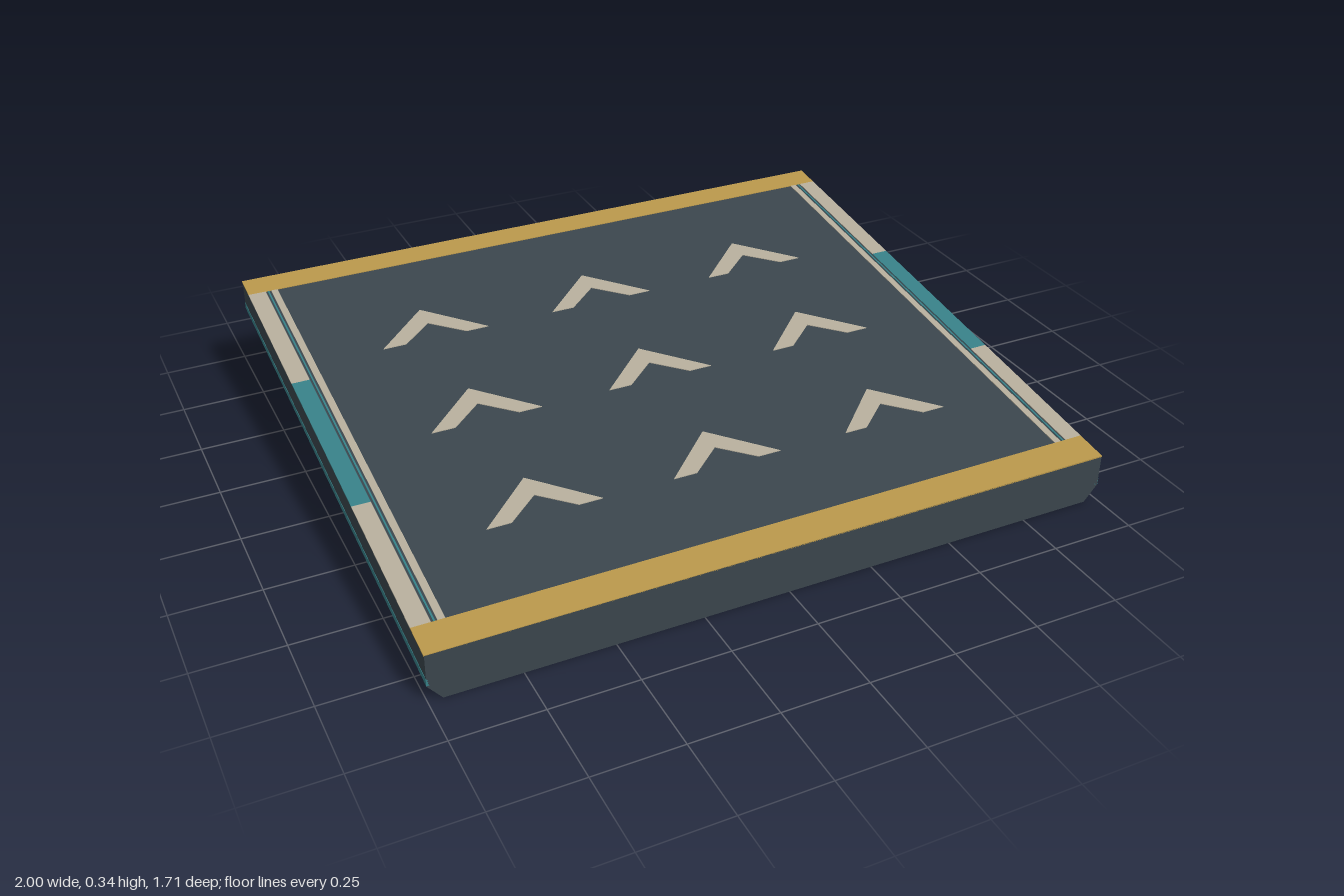
import * as THREE from 'three';

const HALF_LENGTH = 0.853, RISE = 0.2, TOP = 0.143, SKIN = 0.002;

const paint = (color) => new THREE.MeshStandardMaterial({ color });
const dark = paint(0x3a454c), gold = paint(0xb8964a), cream = paint(0xb5ad9b), teal = paint(0x378087);

// Shear that turns a level slab into the ramp, keeping its ends vertical
const slope = new THREE.Matrix4().set(
  1, 0, 0, 0,
  0, 1, -RISE / (2 * HALF_LENGTH), RISE / 2,
  0, 0, 1, 0,
  0, 0, 0, 1);

export function createModel() {
  const model = new THREE.Group();
  model.name = 'rampPanel';

  const add = (name, geometry, material) => {
    geometry.applyMatrix4(slope);
    const mesh = new THREE.Mesh(geometry, material);
    mesh.name = name;
    model.add(mesh);
  };
  const box = (name, material, x0, x1, y0, y1, z0, z1) => {
    const g = new THREE.BoxGeometry(x1 - x0, y1 - y0, z1 - z0);
    add(name, g.translate((x0 + x1) / 2, (y0 + y1) / 2, (z0 + z1) / 2), material);
  };
  // Thin marking lying on the deck
  const marking = (name, material, x0, x1, z0, z1) =>
    box(name, material, x0, x1, TOP - SKIN, TOP + SKIN, z0, z1);

  // Slab with bevelled lower side edges
  const w = 1 - SKIN / 2;
  const section = new THREE.Shape([
    [-0.96, 0], [0.96, 0], [w, 0.048], [w, TOP], [-w, TOP], [-w, 0.048],
  ].map(([x, y]) => new THREE.Vector2(x, y)));
  const slab = new THREE.ExtrudeGeometry(section, { depth: 2 * HALF_LENGTH, bevelEnabled: false });
  add('slab', slab.translate(0, 0, -HALF_LENGTH), dark);

  // Gold bands across both ends
  marking('backBand', gold, -1, 1, -HALF_LENGTH, -0.772);
  marking('frontBand', gold, -1, 1, 0.755, HALF_LENGTH);

  // Edge markings and side stripes, mirrored
  for (const [side, s] of [['left', 1], ['right', -1]]) {
    const strip = (name, material, a, b, z0, z1) =>
      marking(side + name, material, Math.min(s * a, s * b), Math.max(s * a, s * b), z0, z1);
    strip('BackEdge', cream, 0.947, 1, -0.772, -0.288);
    strip('MiddleEdge', teal, 0.947, 1, -0.288, 0.282);
    strip('FrontEdge', cream, 0.947, 1, 0.282, 0.755);
    strip('ThinLine', teal, 0.936, 0.941, -0.772, 0.755);
    strip('InnerLine', cream, 0.91, 0.93, -0.772, 0.755);
    box(side + 'SideStripe', teal, Math.min(s * 0.99, s), Math.max(s * 0.99, s),
      0.05, 0.07, -HALF_LENGTH, HALF_LENGTH);
  }

  // Three by three chevrons pointing up the ramp
  const chevron = new THREE.Shape([
    [0, 0.08], [-0.165, -0.075], [-0.095, -0.075], [0, 0.005], [0.095, -0.075], [0.165, -0.075],
  ].map(([x, y]) => new THREE.Vector2(x, y)));
  for (const z of [-0.43, -0.005, 0.42]) {
    for (const x of [-0.54, 0, 0.54]) {
      const g = new THREE.ExtrudeGeometry(chevron, { depth: 2 * SKIN, bevelEnabled: false });
      add('chevron', g.rotateX(-Math.PI / 2).translate(x, TOP - SKIN, z), cream);
    }
  }
  return model;
}
